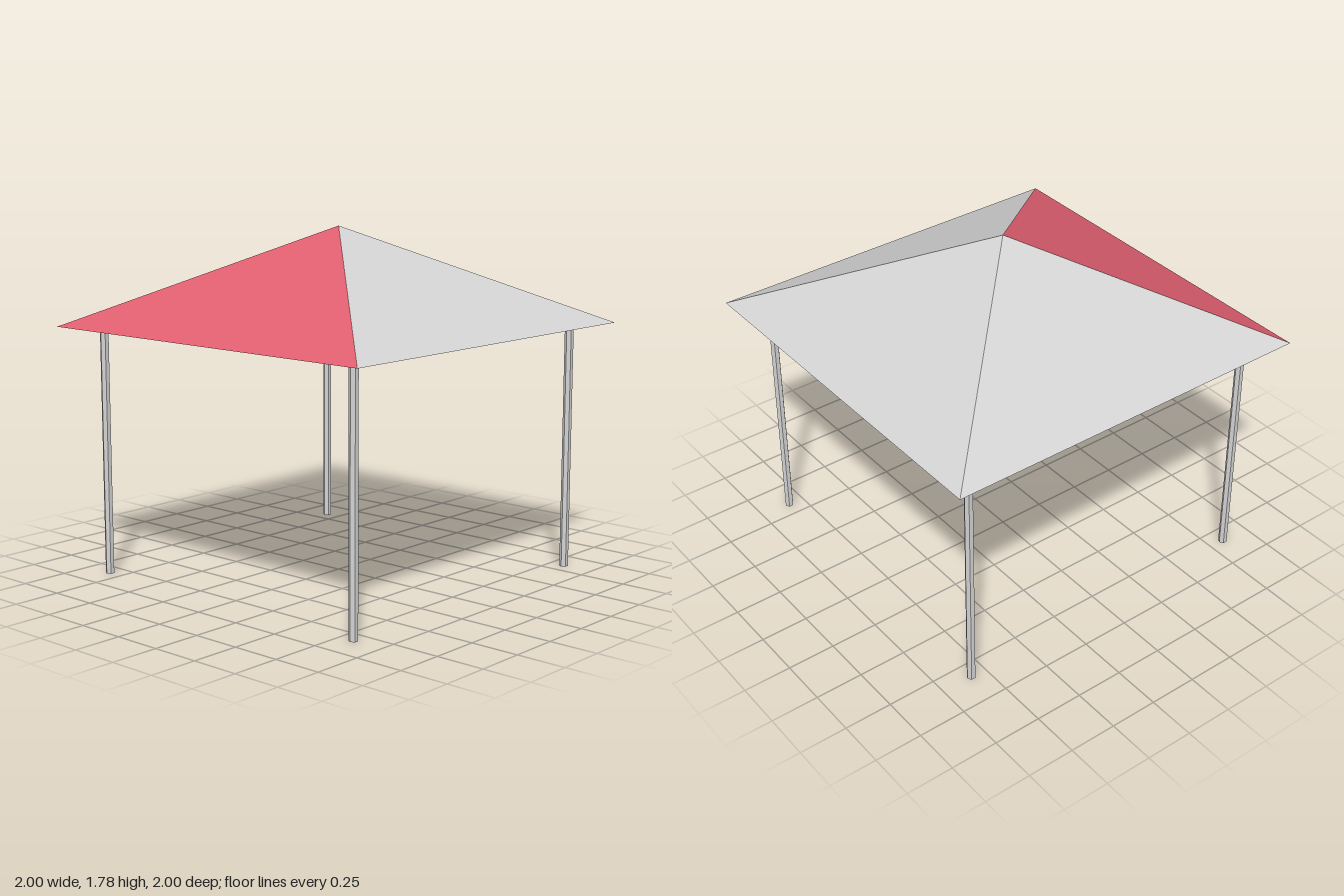
import * as THREE from 'three';

const EAVE = 1.28, PEAK = 1.78, HALF = 1;
const POST_AT = 0.834, POST_RADIUS = 0.0225;

const lightGray = new THREE.MeshStandardMaterial({ name: 'lightGray', color: 0xd3d3d3 });
const red = new THREE.MeshStandardMaterial({ name: 'red', color: 0xe05f6f });
// The canopy is a thin open sheet, visible from inside too
for (const m of [lightGray, red]) m.side = THREE.DoubleSide;

// One triangular slope facing +z, running from the eave to the peak
function slopeGeometry() {
  const geo = new THREE.BufferGeometry();
  geo.setAttribute('position', new THREE.Float32BufferAttribute([
    -HALF, EAVE, HALF, HALF, EAVE, HALF, 0, PEAK, 0,
  ], 3));
  geo.computeVertexNormals();
  return geo;
}

export function createModel() {
  const model = new THREE.Group();
  model.name = 'canopyTent';

  // Roof: four slopes turned around the peak, one of them red
  const roof = new THREE.Group();
  roof.name = 'roof';
  ['frontSlope', 'leftSlope', 'backSlope', 'rightSlope'].forEach((name, i) => {
    const geo = slopeGeometry().rotateY(i * Math.PI / 2);
    const slope = new THREE.Mesh(geo, name === 'rightSlope' ? red : lightGray);
    slope.name = name;
    roof.add(slope);
  });
  model.add(roof);

  // Posts: slim hexagonal poles under the four corners
  const postGeo = new THREE.CylinderGeometry(POST_RADIUS, POST_RADIUS, EAVE, 6)
    .rotateY(Math.PI / 6).toNonIndexed();
  postGeo.computeVertexNormals();
  for (const x of [-1, 1]) {
    for (const z of [-1, 1]) {
      const post = new THREE.Mesh(postGeo, lightGray);
      post.name = (z > 0 ? 'front' : 'back') + (x > 0 ? 'Left' : 'Right') + 'Post';
      post.position.set(x * POST_AT, EAVE / 2, z * POST_AT);
      model.add(post);
    }
  }
  return model;
}
